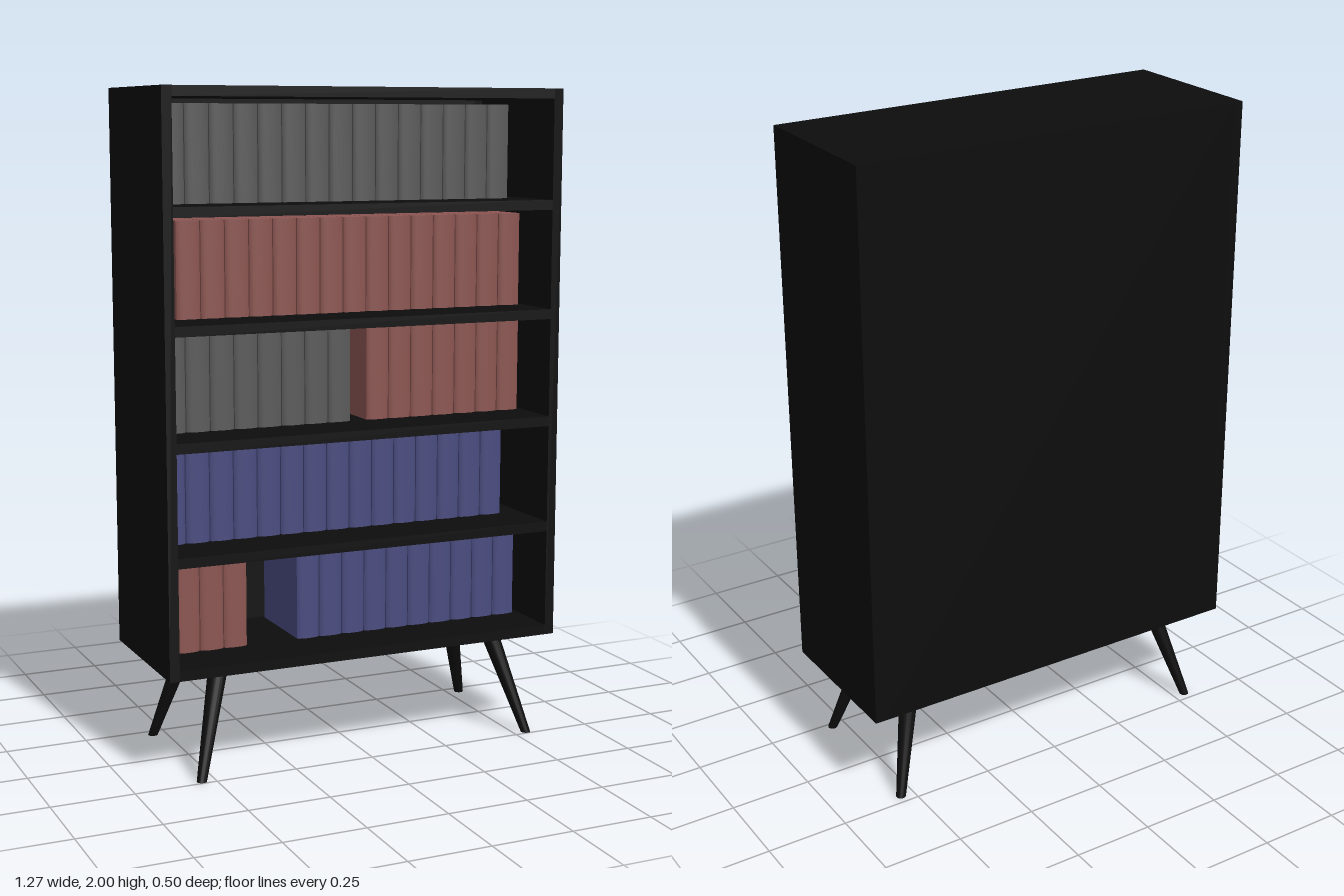
import * as THREE from 'three';
import { toCreasedNormals } from 'three/addons/utils/BufferGeometryUtils.js';

const paint = (color) => new THREE.MeshStandardMaterial({ color });

// Case limits
const HALF_W = 0.635, BOTTOM = 0.31, TOP = 2, FRONT = 0.235, BACK = -0.25, T = 0.03;
const PITCH = (TOP - BOTTOM - T) / 5;

// Book footprint with a rounded spine, extruded upwards
function bookGeometry(width, height, front, back) {
  const w = width / 2, bulge = 0.012;
  const s = new THREE.Shape();
  s.moveTo(-w, -back);
  s.lineTo(-w, -front + bulge);
  s.bezierCurveTo(-w * 0.85, -front, w * 0.85, -front, w, -front + bulge);
  s.lineTo(w, -back);
  s.closePath();
  const g = new THREE.ExtrudeGeometry(s, { depth: height, bevelEnabled: false, curveSegments: 8 });
  g.rotateX(-Math.PI / 2);
  return toCreasedNormals(g, 0.6);
}

// Tapered leg, sheared so that both ends stay horizontal
function legGeometry(dx, dz) {
  const h = BOTTOM + 0.005;
  const g = new THREE.CylinderGeometry(0.03, 0.015, h, 20);
  g.translate(0, h / 2, 0);
  const p = g.attributes.position;
  for (let i = 0; i < p.count; i++) {
    const k = 1 - p.getY(i) / h;
    p.setX(i, p.getX(i) + dx * k);
    p.setZ(i, p.getZ(i) + dz * k);
  }
  return toCreasedNormals(g, 0.6);
}

export function createModel() {
  const model = new THREE.Group();
  const black = paint(0x0d0d0d);
  const colors = { grey: paint(0x5a5a5a), red: paint(0x8c5652), blue: paint(0x4a4c80) };

  const addBox = (name, w, h, d, x, y, z) => {
    const m = new THREE.Mesh(new THREE.BoxGeometry(w, h, d), black);
    m.name = name;
    m.position.set(x, y, z);
    model.add(m);
  };

  // Case: sides, back, and six boards from bottom to top
  const depth = FRONT - BACK, midZ = (FRONT + BACK) / 2, midY = (TOP + BOTTOM) / 2;
  for (const s of [-1, 1]) {
    addBox(s > 0 ? 'leftSide' : 'rightSide', T, TOP - BOTTOM, depth, s * (HALF_W - T / 2), midY, midZ);
  }
  const innerW = 2 * (HALF_W - T);
  addBox('backPanel', innerW, TOP - BOTTOM, T, 0, midY, BACK + T / 2);
  for (let i = 0; i <= 5; i++) {
    const name = i === 0 ? 'bottomBoard' : i === 5 ? 'topBoard' : 'shelf';
    addBox(name, innerW, T, depth - T, 0, BOTTOM + T / 2 + i * PITCH, midZ + T / 2);
  }

  // Rows of books: shelf number, colour, left edge in x, count
  const step = 0.0755;
  const book = bookGeometry(0.0725, 0.285, 0.07, -0.21);
  const rows = [
    [0, 'red', -0.555, 3], [0, 'blue', -0.167, 10],
    [1, 'blue', -0.595, 15],
    [2, 'grey', -0.59, 8], [2, 'red', 0.065, 7],
    [3, 'red', -0.54, 15],
    [4, 'grey', -0.585, 15],
  ];
  for (const [level, color, x, count] of rows) {
    const row = new THREE.Group();
    row.name = color + 'Books';
    row.position.set(x, BOTTOM + T + level * PITCH, 0);
    for (let i = 0; i < count; i++) {
      const m = new THREE.Mesh(book, colors[color]);
      m.name = 'book';
      m.position.x = (i + 0.5) * step;
      row.add(m);
    }
    model.add(row);
  }

  // Four splayed legs
  for (const sx of [-1, 1]) {
    for (const sz of [-1, 1]) {
      const leg = new THREE.Mesh(legGeometry(sx * 0.088, sz * 0.09), black);
      leg.name = (sz > 0 ? 'front' : 'back') + (sx > 0 ? 'Left' : 'Right') + 'Leg';
      leg.position.set(sx * 0.454, 0, 0.008 + sz * 0.136);
      model.add(leg);
    }
  }
  return model;
}
